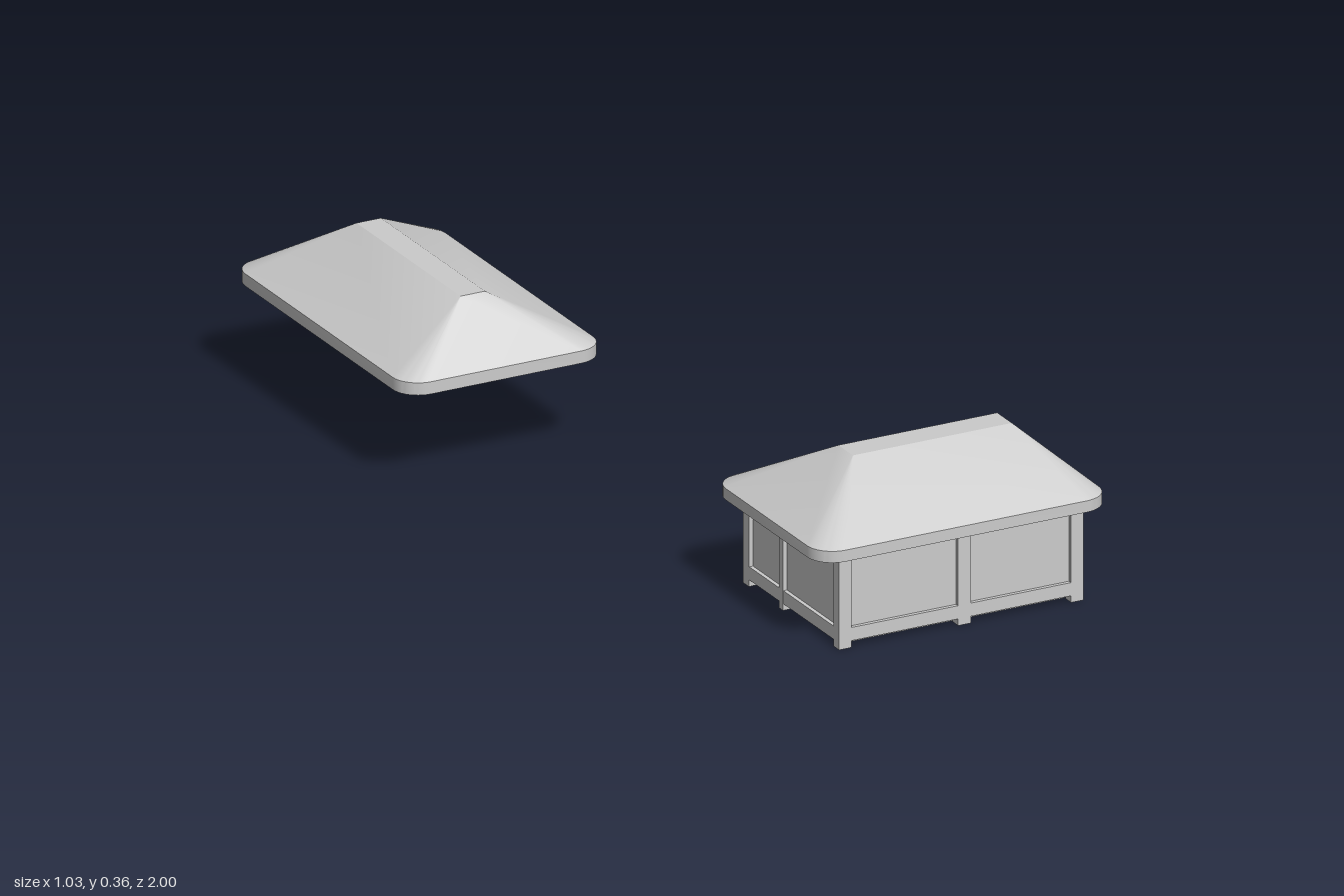
import * as THREE from 'three';
import { toCreasedNormals } from 'three/addons/utils/BufferGeometryUtils.js';

const material = new THREE.MeshStandardMaterial({ color: 0xcccccc });

function add(parent, name, geometry) {
  const mesh = new THREE.Mesh(geometry, material);
  mesh.name = name;
  parent.add(mesh);
  return mesh;
}

// box given by its minimum and maximum along each axis
function addBox(parent, name, x0, x1, y0, y1, z0, z1) {
  const geometry = new THREE.BoxGeometry(x1 - x0, y1 - y0, z1 - z0);
  geometry.translate((x0 + x1) / 2, (y0 + y1) / 2, (z0 + z1) / 2);
  return add(parent, name, geometry);
}

// rectangle loop with rounded corners; radius 0 repeats each corner
function roundedRing([x0, x1, z0, z1], y, radius, steps = 10) {
  const ring = [];
  const corners = [[x1, z1, -1, -1], [x0, z1, 1, -1], [x0, z0, 1, 1], [x1, z0, -1, 1]];
  corners.forEach(([x, z, sx, sz], c) => {
    for (let i = 0; i <= steps; i++) {
      const a = (c + i / steps) * Math.PI / 2;
      ring.push(new THREE.Vector3(
        x + sx * radius + Math.cos(a) * radius, y, z + sz * radius + Math.sin(a) * radius));
    }
  });
  return ring;
}

// hipped roof: upright rim, slopes with rounded hips, flat narrow ridge
function roofGeometry(eave, ridge, yBottom, yEave, yRidge, radius) {
  const rings = [
    roundedRing(eave, yBottom, radius),
    roundedRing(eave, yEave, radius),
    roundedRing(ridge, yRidge, 0),
  ];
  const points = [];
  const edge = new THREE.Vector3(), other = new THREE.Vector3();
  const triangle = (a, b, c) => {
    edge.subVectors(b, a);
    other.subVectors(c, a);
    if (edge.cross(other).length() > 1e-8) points.push(a, b, c);
  };
  const n = rings[0].length;
  for (let i = 0; i < n; i++) {
    const j = (i + 1) % n;
    for (let r = 0; r < 2; r++) {
      const low = rings[r], high = rings[r + 1];
      triangle(low[i], high[i], high[j]);
      triangle(low[i], high[j], low[j]);
    }
    triangle(rings[0][0], rings[0][i], rings[0][j]);
    triangle(rings[2][0], rings[2][j], rings[2][i]);
  }
  return toCreasedNormals(new THREE.BufferGeometry().setFromPoints(points), 0.3);
}

// L-shaped block leaving the back left corner open
function cornerBlock([x0, x1, z0, z1], notchX, notchZ, y0, y1) {
  const outline = [[x0, z1], [x1, z1], [x1, notchZ], [notchX, notchZ], [notchX, z0], [x0, z0]];
  const shape = new THREE.Shape(outline.map(([x, z]) => new THREE.Vector2(x, -z)));
  const geometry = new THREE.ExtrudeGeometry(shape, { depth: y1 - y0, bevelEnabled: false });
  return geometry.rotateX(-Math.PI / 2).translate(0, y0, 0);
}

export function createModel() {
  const model = new THREE.Group();
  model.name = 'pavilionAndSeparateRoof';

  const pavilion = new THREE.Group();
  pavilion.name = 'pavilion';
  model.add(pavilion);

  // base, floor and enclosed room around the corner porch
  add(pavilion, 'foundation', cornerBlock([-0.095, 0.43, 0.575, 0.94], 0.175, 0.712, 0, 0.015));
  addBox(pavilion, 'floor', -0.124, 0.459, 0.015, 0.045, 0.546, 0.969);
  add(pavilion, 'roomWalls', cornerBlock([-0.115, 0.45, 0.555, 0.96], 0.175, 0.712, 0.045, 0.212));

  // posts at the corners, the middle of each side and the porch's inner corner
  const xs = [[-0.125, -0.095], [0.16, 0.19], [0.43, 0.46]];
  const zs = [[0.545, 0.57], [0.703, 0.721], [0.945, 0.97]];
  xs.forEach(([x0, x1]) => zs.forEach(([z0, z1]) => {
    addBox(pavilion, 'post', x0, x1, x0 === 0.16 && z0 === 0.703 ? 0.045 : 0, 0.213, z0, z1);
  }));

  add(pavilion, 'pavilionRoof',
    roofGeometry([-0.185, 0.512, 0.52, 1], [0, 0.38, 0.735, 0.8], 0.212, 0.238, 0.357, 0.06));

  // second roof, apart behind the pavilion
  add(model, 'separateRoof',
    roofGeometry([-0.514, -0.035, -1, -0.227], [-0.312, -0.254, -0.822, -0.36], 0.215, 0.243, 0.362, 0.06));

  return model;
}
